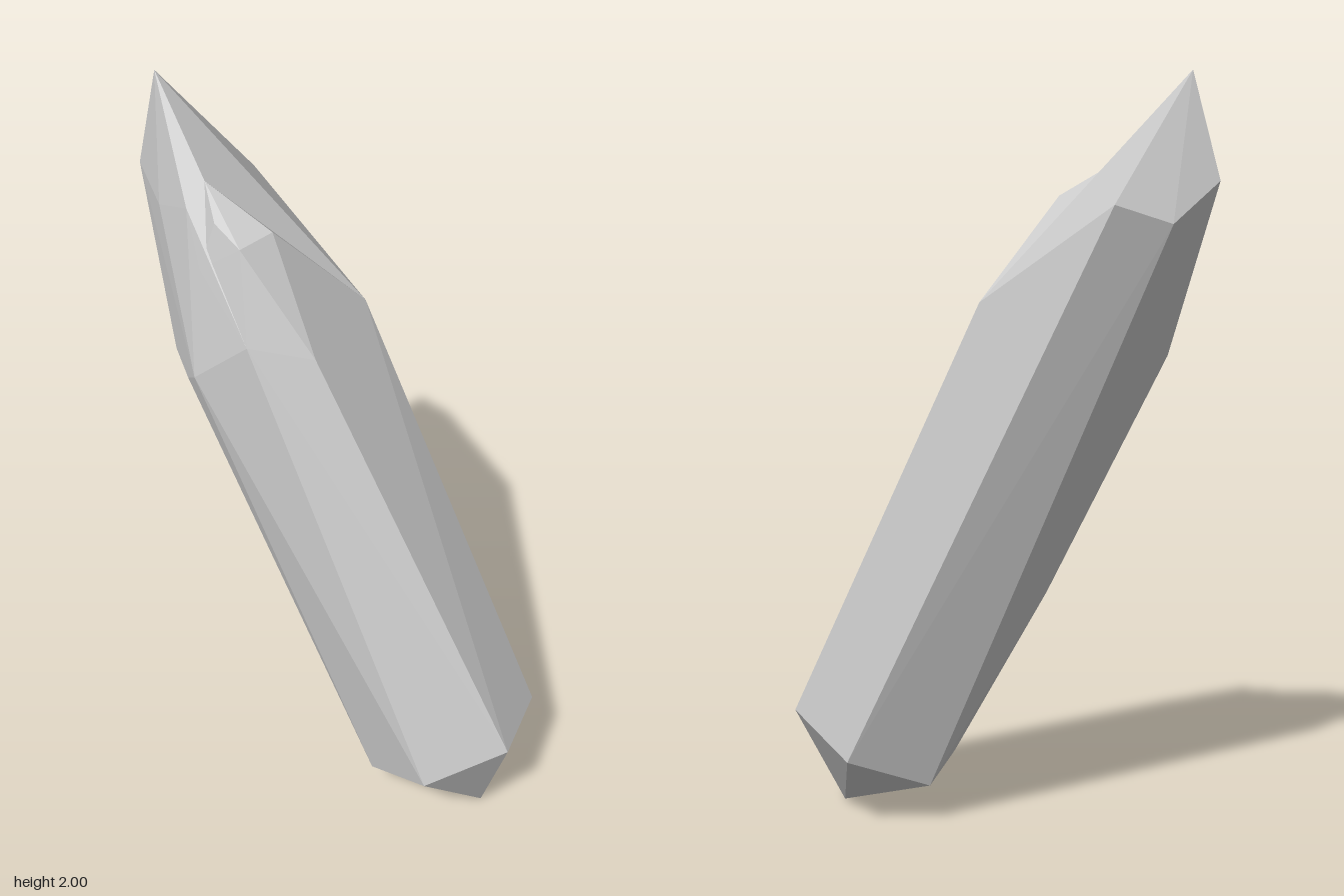
import * as THREE from 'three';
import { ConvexGeometry } from 'three/addons/geometries/ConvexGeometry.js';

const v = (x, y, z) => new THREE.Vector3(x, y, z);

export function createModel() {
  const group = new THREE.Group();
  group.name = 'crystal';
  const material = new THREE.MeshStandardMaterial({ color: 0xcccccc, flatShading: true });

  function addFacetedPart(name, points) {
    const mesh = new THREE.Mesh(new ConvexGeometry(points), material);
    mesh.name = name;
    group.add(mesh);
  }

  // Lower point and the six-sided ring above it
  const foot = [
    v(0.465, 0, -0.09),
    v(0.585, 0.32, -0.04), v(0.46, 0.24, 0.155), v(0.24, 0.13, 0.13),
    v(0.14, 0.11, -0.10), v(0.265, 0.20, -0.295), v(0.485, 0.30, -0.265),
  ];

  // Corners where the shaft changes slope
  const rightShoulder = v(0.04, 1.42, 0.14);
  const backShoulder = v(-0.06, 1.43, -0.135);
  const frontShoulder = v(-0.07, 1.46, 0.265);
  const shaft = [
    rightShoulder, backShoulder, frontShoulder,
    v(0.23, 0.61, 0.20), v(-0.24, 1.31, 0.295), v(-0.31, 1.26, 0.26),
    v(-0.40, 1.29, 0.22), v(-0.14, 0.66, 0.05),
  ];

  // Upper point and the facets around it
  const crest = v(-0.29, 1.80, 0.185);
  const frontFacet = v(-0.25, 1.60, 0.25);
  const head = [
    v(-0.51, 2, 0.14), v(-0.59, 1.73, 0.145), v(-0.55, 1.625, -0.005),
    v(-0.46, 1.67, -0.125), v(-0.44, 1.69, 0.21), v(-0.31, 1.735, 0.23),
    crest, frontFacet,
  ];
  addFacetedPart('mainCrystal', [...foot, ...shaft, ...head]);

  // Lower second tip, leaning against the main point
  addFacetedPart('secondTip', [
    crest, v(-0.125, 1.70, 0.12), v(-0.22, 1.725, 0.22), v(-0.13, 1.69, 0.222),
    backShoulder, rightShoulder, frontShoulder, frontFacet,
  ]);

  return group;
}
